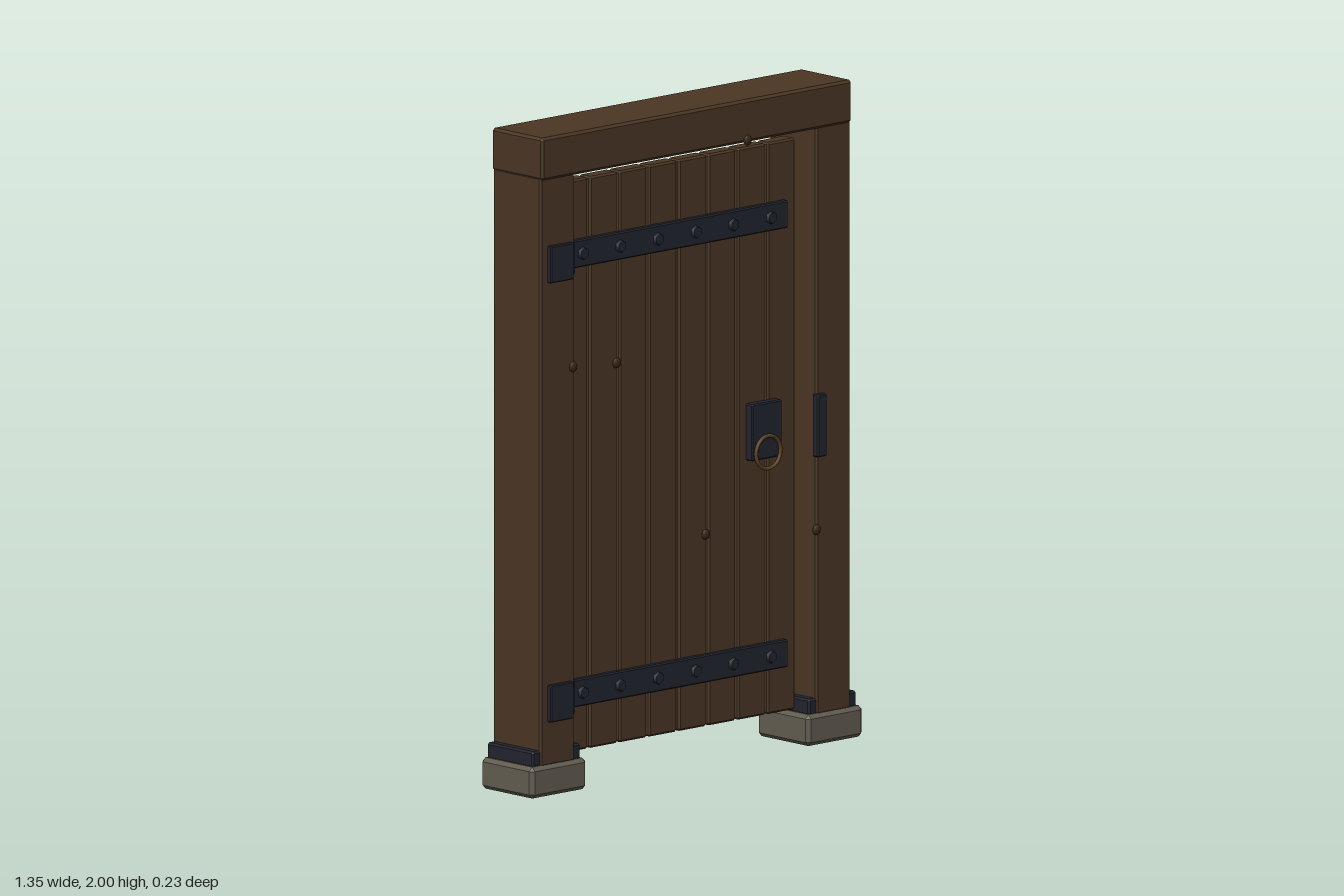
import * as THREE from 'three';
import { ConvexGeometry } from 'three/addons/geometries/ConvexGeometry.js';

const material = (name, color) => {
  const m = new THREE.MeshStandardMaterial({ color });
  m.name = name;
  return m;
};

// Box with flat chamfered edges, centred on the origin
function chamferBox(w, h, d, c) {
  const points = [];
  for (const x of [-1, 1]) for (const y of [-1, 1]) for (const z of [-1, 1]) {
    const X = x * w / 2, Y = y * h / 2, Z = z * d / 2;
    points.push(
      new THREE.Vector3(X, Y - y * c, Z - z * c),
      new THREE.Vector3(X - x * c, Y, Z - z * c),
      new THREE.Vector3(X - x * c, Y - y * c, Z));
  }
  return new ConvexGeometry(points);
}

export function createModel() {
  const model = new THREE.Group();
  model.name = 'plankDoor';
  const wood = material('wood', 0x4a3624);
  const knotWood = material('knotWood', 0x3a2919);
  const iron = material('iron', 0x22242e);
  const steel = material('steel', 0x62625f);
  const bronze = material('bronze', 0x5c4022);
  const stone = material('stone', 0x625c50);

  const add = (name, geometry, mat, x, y, z) => {
    const mesh = new THREE.Mesh(geometry, mat);
    mesh.name = name;
    mesh.position.set(x, y, z);
    model.add(mesh);
    return mesh;
  };
  // Chamfered box given by its limits on each axis
  const block = (name, mat, [x0, x1], [y0, y1], [z0, z1], c = 0.006) =>
    add(name, chamferBox(x1 - x0, y1 - y0, z1 - z0, c), mat,
      (x0 + x1) / 2, (y0 + y1) / 2, (z0 + z1) / 2);

  // Frame: posts on stone feet with iron collars, and a lintel
  for (const [side, s] of [['left', 1], ['right', -1]]) {
    const cx = s * 0.563;
    const span = (half) => [cx - half, cx + half];
    block(side + 'Foot', stone, span(0.114), [0, 0.095], [-0.117, 0.109], 0.012);
    block(side + 'Collar', iron, span(0.098), [0.09, 0.14], [-0.105, 0.095]);
    block(side + 'Post', wood, span(0.07), [0.09, 1.88], [-0.108, 0.099]);
  }
  block('lintel', wood, [-0.633, 0.633], [1.87, 2], [-0.115, 0.106], 0.008);

  // Door leaf: eight upright planks
  for (let i = 0; i < 8; i++) {
    const x = -0.43 + i * 0.1208;
    block('plank', wood, [x - 0.057, x + 0.057], [0.1, 1.835], [-0.02, 0.03]);
  }

  // Back ledges and diagonal brace
  for (const y of [0.28, 1.615])
    block('ledge', wood, [-0.44, 0.44], [y - 0.055, y + 0.055], [-0.056, -0.019]);
  const from = new THREE.Vector2(-0.385, 0.34), to = new THREE.Vector2(0.37, 1.515);
  const along = to.clone().sub(from);
  const brace = add('brace', chamferBox(along.length(), 0.09, 0.031, 0.006), wood,
    (from.x + to.x) / 2, (from.y + to.y) / 2, -0.0345);
  brace.rotation.z = along.angle();

  // Strap hinges with knuckle, pin and hexagonal nail heads
  const nail = new THREE.CylinderGeometry(0.017, 0.021, 0.012, 6).rotateX(Math.PI / 2);
  const knuckle = new THREE.CylinderGeometry(0.02, 0.02, 0.1, 10);
  const pin = new THREE.CylinderGeometry(0.008, 0.008, 0.19, 8);
  for (const y of [0.28, 1.613]) {
    block('hingePlate', iron, [-0.605, -0.51], [y - 0.056, y + 0.056], [0.095, 0.115], 0.003);
    block('hingeStrap', iron, [-0.485, 0.425], [y - 0.042, y + 0.042], [0.028, 0.05], 0.004);
    block('hingeArm', iron, [-0.53, -0.49], [y - 0.04, y + 0.04], [0.08, 0.1], 0.003);
    add('hingeKnuckle', knuckle, iron, -0.492, y, 0.068);
    add('hingePin', pin, steel, -0.494, y, 0.07);
    for (let i = 0; i < 6; i++) add('strapNail', nail, iron, -0.415 + i * 0.1535, y, 0.054);
  }

  // Latch plate, ring handle and keeper
  block('latchPlate', iron, [0.267, 0.39], [0.885, 1.057], [0.028, 0.06], 0.004);
  add('ringHandle', new THREE.TorusGeometry(0.05, 0.006, 8, 24), bronze, 0.326, 0.907, 0.067);
  block('latchKeeper', iron, [0.482, 0.52], [0.875, 1.065], [0.09, 0.117], 0.004);

  // Small knots in the timber
  const knot = new THREE.SphereGeometry(0.016, 10, 8).scale(1, 1, 0.5);
  for (const [x, y, z] of [[-0.5, 1.288, 0.099], [-0.258, 1.255, 0.03], [0.105, 0.683, 0.03],
    [0.493, 0.652, 0.099], [0.205, 1.877, 0.106]]) add('knot', knot, knotWood, x, y, z);

  return model;
}
